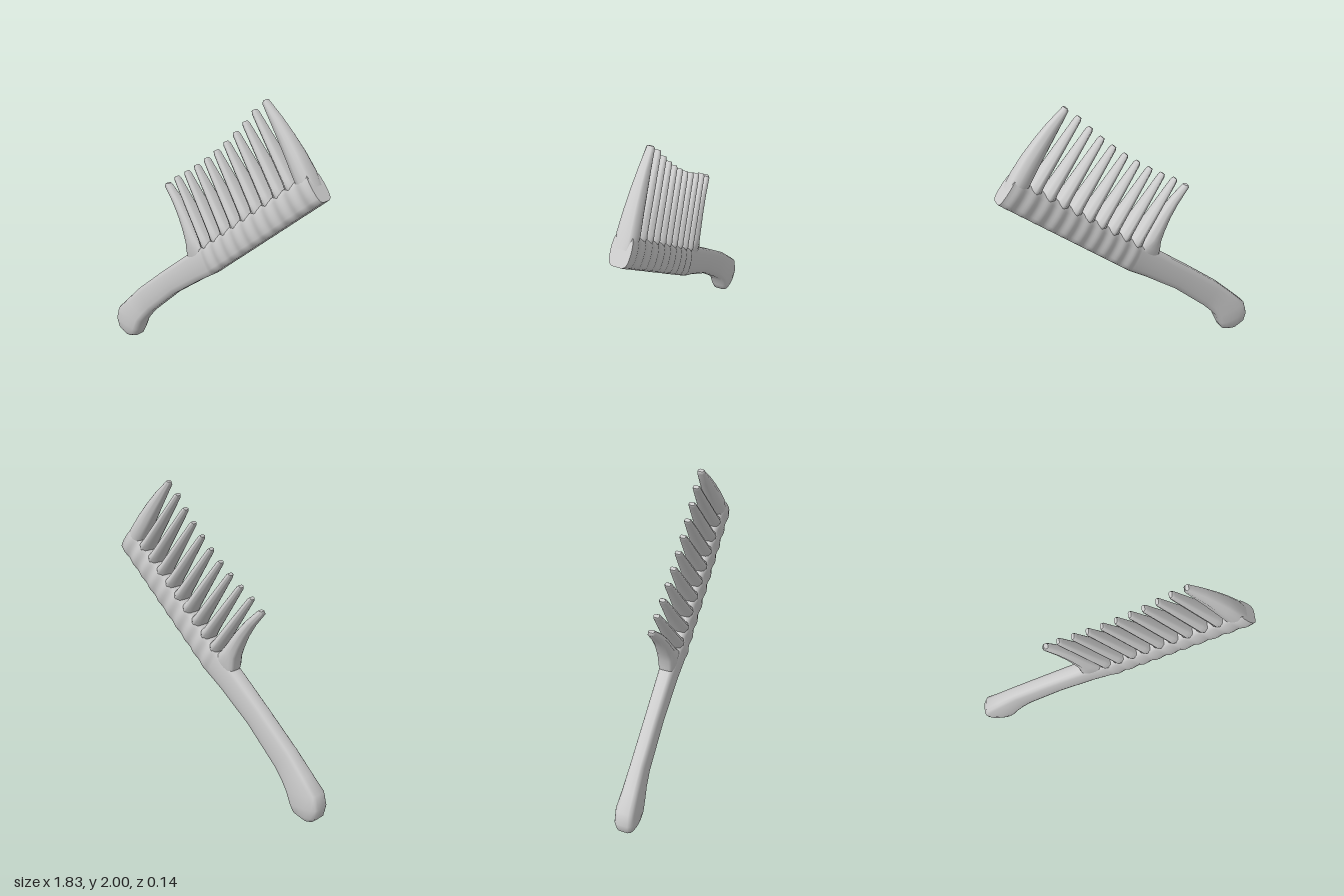
import * as THREE from 'three';

const material = new THREE.MeshStandardMaterial({ color: 0xcccccc });

// Slightly domed slab section with rounded edges, across width w and half thickness h
function section(w, h) {
  const r = Math.min(0.035, w * 0.36);
  const half = [[w / 2, 0], [w / 2, 0.5 * h], [w / 2 - r * 0.3, 0.78 * h], [w / 2 - r, 0.93 * h], [w * 0.1, h]];
  const top = [...half, ...half.slice(1).reverse().map(([u, z]) => [-u, z])];
  return [...top, [-w / 2, 0], ...top.slice(1).reverse().map(([u, z]) => [u, -z])];
}

// Skin through stations [leftX, leftY, rightX, rightY, halfThickness]
function loft(name, stations) {
  const pos = [], index = [];
  let n = 0;
  const rings = stations.map(([ax, ay, bx, by, h]) => {
    const w = Math.hypot(bx - ax, by - ay);
    const ux = (bx - ax) / w, uy = (by - ay) / w;
    const ring = section(w, h).map(([u, z]) => [(ax + bx) / 2 + ux * u, (ay + by) / 2 + uy * u, z]);
    n = ring.length;
    ring.forEach(p => pos.push(...p));
    return ring;
  });
  for (let i = 0; i < rings.length - 1; i++) {
    for (let j = 0; j < n; j++) {
      const k = (j + 1) % n, a = i * n, b = a + n;
      index.push(a + j, b + j, a + k, a + k, b + j, b + k);
    }
  }
  // End caps
  [[rings[0], false], [rings[rings.length - 1], true]].forEach(([ring, flip]) => {
    const c = pos.length / 3;
    const mid = [0, 1, 2].map(d => ring.reduce((s, p) => s + p[d], 0) / n);
    pos.push(...mid);
    ring.forEach(p => pos.push(...p));
    for (let j = 0; j < n; j++) {
      const p = c + 1 + j, q = c + 1 + (j + 1) % n;
      if (flip) index.push(c, q, p); else index.push(c, p, q);
    }
  });
  const geometry = new THREE.BufferGeometry();
  geometry.setAttribute('position', new THREE.Float32BufferAttribute(pos, 3));
  geometry.setIndex(index);
  geometry.computeVertexNormals();
  const mesh = new THREE.Mesh(geometry, material);
  mesh.name = name;
  return mesh;
}

export function createModel() {
  const group = new THREE.Group();
  group.name = 'comb';

  // Handle with swollen butt, running on into the rippled spine
  const body = [
    [-0.865, 0.015, -0.78, 0.003, 0.04],
    [-0.905, 0.055, -0.715, 0.035, 0.062],
    [-0.917, 0.125, -0.69, 0.09, 0.072],
    [-0.893, 0.215, -0.655, 0.17, 0.071],
    [-0.8, 0.31, -0.61, 0.225, 0.062],
    [-0.67, 0.44, -0.55, 0.29, 0.055],
    [-0.42, 0.65, -0.31, 0.51, 0.054],
    [-0.19, 0.835, -0.07, 0.685, 0.056],
  ];
  const steps = 80;
  for (let i = 0; i <= steps; i++) {
    const q = i / steps;
    const ripple = 0.067 - 0.005 * Math.cos(q * 20 * Math.PI);
    body.push([-0.05 + 0.84 * q, 0.935 + 0.695 * q, 0.05 + 0.86 * q, 0.765 + 0.715 * q, ripple]);
  }
  group.add(loft('handleAndSpine', body));

  // Wide guard teeth at both ends
  group.add(loft('innerGuardTooth', [
    [-0.17, 0.82, 0.0, 0.89, 0.052],
    [-0.18, 0.875, -0.04, 0.935, 0.06],
    [-0.187, 0.935, -0.085, 0.985, 0.06],
    [-0.215, 1.005, -0.13, 1.045, 0.055],
    [-0.26, 1.095, -0.19, 1.125, 0.047],
    [-0.32, 1.185, -0.265, 1.21, 0.037],
    [-0.4, 1.28, -0.352, 1.292, 0.026],
    [-0.392, 1.3, -0.366, 1.303, 0.02],
  ]));
  group.add(loft('outerGuardTooth', [
    [0.75, 1.49, 0.865, 1.53, 0.06],
    [0.7, 1.57, 0.8, 1.635, 0.067],
    [0.635, 1.67, 0.725, 1.735, 0.057],
    [0.565, 1.775, 0.645, 1.825, 0.047],
    [0.5, 1.87, 0.56, 1.91, 0.036],
    [0.432, 1.972, 0.475, 1.982, 0.026],
    [0.437, 1.99, 0.456, 2.0, 0.02],
  ]));

  // Nine tapered teeth between the guards
  const tips = new THREE.QuadraticBezierCurve(
    new THREE.Vector2(-0.3, 1.365), new THREE.Vector2(0.08, 1.585), new THREE.Vector2(0.36, 1.92));
  const roots = new THREE.LineCurve(new THREE.Vector2(-0.008, 0.97), new THREE.Vector2(0.668, 1.525));
  const profile = [[-0.12, 0.04, 0.05], [0, 0.04, 0.068], [0.08, 0.034, 0.063],
    [0.5, 0.026, 0.046], [0.96, 0.018, 0.026], [1, 0.011, 0.02]]; // along, half width, half thickness
  for (let i = 0; i < 9; i++) {
    const root = roots.getPoint(i / 8), tip = tips.getPoint(i / 8);
    const dir = tip.clone().sub(root).normalize();
    group.add(loft(`tooth${i + 1}`, profile.map(([t, w, h]) => {
      const c = root.clone().lerp(tip, t);
      return [c.x - dir.y * w, c.y + dir.x * w, c.x + dir.y * w, c.y - dir.x * w, h]
        .map((v, k) => (k === 1 ? c.y + dir.x * w : v));
    })));
  }
  return group;
}
